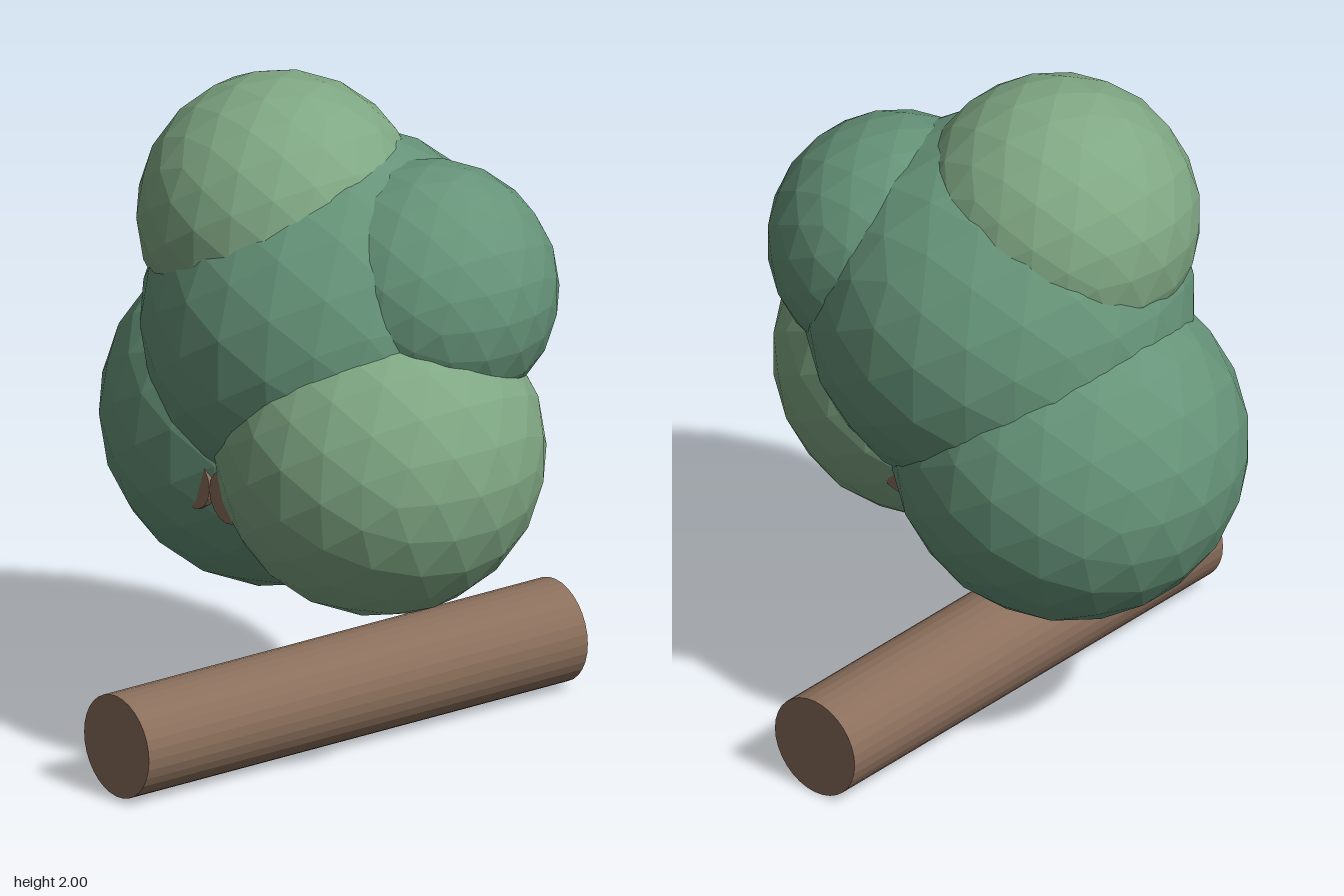
import * as THREE from 'three';

export function createModel() {
  const model = new THREE.Group();
  const material = (color) => new THREE.MeshStandardMaterial({ color, flatShading: true });
  const bark = material(0x8b6f5c);
  const darkLeaf = material(0x669479);
  const lightLeaf = material(0x80a884);

  const add = (name, geometry, mat, x, y, z) => {
    const mesh = new THREE.Mesh(geometry, mat);
    mesh.name = name;
    mesh.position.set(x, y, z);
    model.add(mesh);
    return mesh;
  };

  // Faceted foliage: name, material, radius, centre
  const foliage = [
    ['foliageLowerRight', darkLeaf, 0.515, -0.26, 0.93, 0],
    ['foliageLowerLeft', lightLeaf, 0.477, 0.293, 0.977, 0.055],
    ['foliageCentre', darkLeaf, 0.562, 0.01, 1.285, 0],
    ['foliageTop', lightLeaf, 0.413, -0.12, 1.587, 0.1],
    ['foliageUpperLeft', darkLeaf, 0.377, 0.295, 1.43, -0.115],
  ];
  for (const [name, mat, r, x, y, z] of foliage) {
    add(name, new THREE.IcosahedronGeometry(r, 3), mat, x, y, z);
  }

  // Log lying front to back under the foliage
  const log = new THREE.CylinderGeometry(0.153, 0.153, 1.575, 32).rotateX(Math.PI / 2);
  add('trunk', log, bark, 0.012, 0.155, 0);

  // Pair of branches, mostly buried in the foliage
  for (const side of [-1, 1]) {
    const branch = new THREE.CylinderGeometry(0.08, 0.08, 0.8, 16).rotateX(Math.PI / 2);
    add(side < 0 ? 'branchRight' : 'branchLeft', branch, bark, 0.006 + side * 0.08, 0.86, 0.05);
  }

  return model;
}
